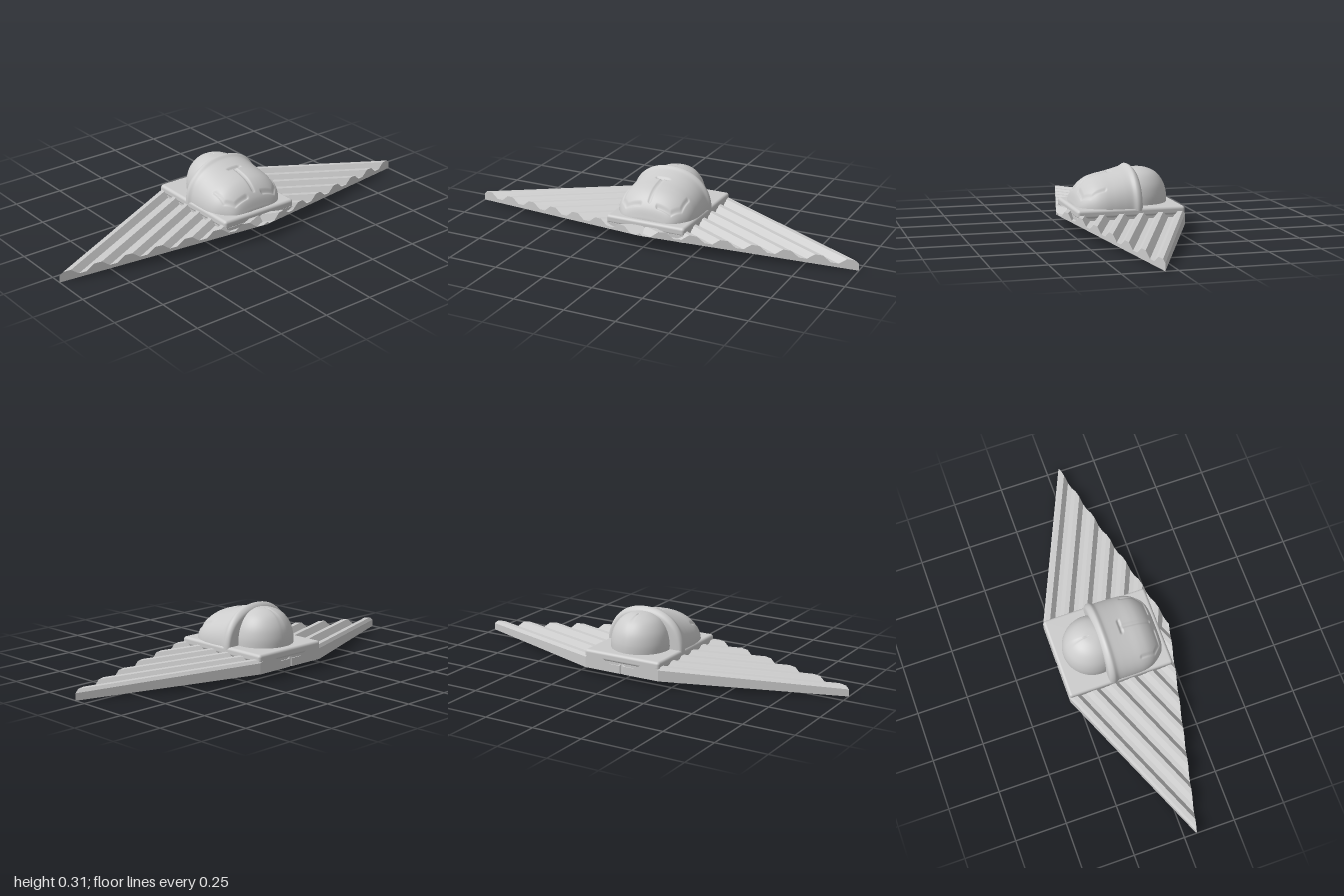
import * as THREE from 'three';
import { RoundedBoxGeometry } from 'three/addons/geometries/RoundedBoxGeometry.js';

const smooth = new THREE.MeshStandardMaterial({ color: 0xcccccc, side: THREE.DoubleSide });
const faceted = new THREE.MeshStandardMaterial({ color: 0xcccccc, side: THREE.DoubleSide, flatShading: true });

// Skins a list of equally long point rings.
function loft(rings, closed) {
  const n = rings[0].length, index = [];
  for (let i = 0; i < rings.length - 1; i++) {
    for (let j = 0; j < (closed ? n : n - 1); j++) {
      const a = i * n + j, b = i * n + (j + 1) % n;
      index.push(a, a + n, b, b, a + n, b + n);
    }
  }
  const geo = new THREE.BufferGeometry();
  geo.setAttribute('position', new THREE.Float32BufferAttribute(rings.flat(2), 3));
  geo.setIndex(index);
  geo.computeVertexNormals();
  return geo;
}

// Corrugated wing: ridges run parallel to the back edge and end on the front edge.
function wingGeometry() {
  const span = 0.6675, slope = 0.4375, teeth = 7, rows = teeth * 8;
  const rings = [];
  for (let i = 0; i <= rows; i++) {
    const w = span * i / rows;
    const wave = 0.014 * THREE.MathUtils.clamp(1.5 * Math.sin(i / 8 * Math.PI * 2), -1, 1);
    const zAt = x => -0.29 + slope * (x - 0.2) + w;
    const top = x => 0.088 - 0.052 * Math.max(0, x - 0.2) / 0.8 + wave;
    const xf = 1 - w / span;
    const xs = Math.min(xf, Math.max(0, 0.2 - w / slope));
    const xm = Math.min(xf, Math.max(xs, 0.2));
    const zf = zAt(xf), zs = zAt(xs), zm = zAt(xm);
    const ring = [
      [xf, 0.075 - 0.073 * xf, zf], [xf, top(xf), zf], [xm, top(xm), zm],
      [xs, top(xs), zs], [xs, 0.035 + 0.04 * (zs + 0.29) / 0.58, zs],
    ];
    // The first ring, collapsed onto its top edge, closes the back wall.
    if (i === 0) rings.push([ring[1], ring[1], ring[2], ring[3], ring[3]]);
    rings.push(ring);
  }
  return loft(rings, true);
}

// Grooves carved into the hood, as mirrored segments in plan (x, z).
const grooves = [
  [0, 0.04, 0, 0.18], [0, 0.035, 0.03, 0.035],
  [0.157, 0.09, 0.152, 0.155], [0.152, 0.155, 0.115, 0.19], [0.115, 0.19, 0.045, 0.19],
];
function grooveDepth(x, z) {
  let d = 1;
  for (const [ax, az, bx, bz] of grooves) {
    const dx = bx - ax, dz = bz - az;
    const t = THREE.MathUtils.clamp(((x - ax) * dx + (z - az) * dz) / (dx * dx + dz * dz), 0, 1);
    d = Math.min(d, Math.hypot(x - ax - dx * t, z - az - dz * t));
  }
  return 0.01 * (1 - THREE.MathUtils.smoothstep(d, 0.001, 0.009));
}

// Hood: arched sections along z with a raised rim at the back.
function hoodGeometry() {
  // half width, top height, z
  const profile = [
    [0.13, 0.23, -0.085], [0.185, 0.272, -0.085], [0.2, 0.289, -0.081], [0.207, 0.302, -0.07],
    [0.208, 0.308, -0.058], [0.203, 0.303, -0.047], [0.2, 0.297, -0.038], [0.2, 0.285, 0],
    [0.2, 0.272, 0.05], [0.197, 0.261, 0.1], [0.187, 0.248, 0.135], [0.165, 0.222, 0.17],
    [0.135, 0.182, 0.2], [0.1, 0.14, 0.214], [0.05, 0.118, 0.218],
  ].map(p => new THREE.Vector3(...p));
  const path = new THREE.CatmullRomCurve3(profile);
  const base = 0.112, sides = 96;
  const power = v => Math.sign(v) * Math.abs(v) ** 0.92;
  const rings = path.getSpacedPoints(110).map(p => {
    const ring = [];
    for (let j = 0; j <= sides; j++) {
      const a = Math.PI * j / sides;
      const x = p.x * power(Math.cos(a)), s = power(Math.max(0, Math.sin(a)));
      ring.push([x, base + (p.y - base) * s - grooveDepth(Math.abs(x), p.z) * s, p.z]);
    }
    return ring;
  });
  return loft(rings, false);
}

// Belly block under the plate, tapering upward toward the front.
function bellyGeometry() {
  const geo = new THREE.BoxGeometry(0.4, 0.05, 0.52);
  geo.translate(0, 0.065, -0.025);
  const pos = geo.attributes.position;
  for (let i = 0; i < pos.count; i++) {
    if (pos.getY(i) < 0.06) pos.setY(i, pos.getZ(i) > 0 ? 0.055 : 0.035);
  }
  geo.computeVertexNormals();
  return geo;
}

export function createModel() {
  const model = new THREE.Group();
  model.name = 'wingedBeetle';
  const add = (name, geo, material = smooth) => {
    const mesh = new THREE.Mesh(geo, material);
    mesh.name = name;
    model.add(mesh);
    return mesh;
  };

  // Wings
  const wing = wingGeometry();
  add('leftWing', wing, faceted);
  add('rightWing', wing, faceted).scale.x = -1;

  // Base
  add('belly', bellyGeometry(), faceted);
  add('basePlate', new RoundedBoxGeometry(0.41, 0.042, 0.525, 4, 0.014)).position.set(0, 0.104, -0.0275);

  // Body
  add('hood', hoodGeometry());
  const dome = new THREE.SplineCurve([
    [0.144, 0.115], [0.143, 0.165], [0.128, 0.218], [0.094, 0.263], [0.045, 0.287], [0, 0.291],
  ].map(p => new THREE.Vector2(...p))).getPoints(24);
  dome[24].x = 0;
  const lathe = new THREE.LatheGeometry(dome, 64);
  // Fine groove along the middle of the dome.
  const pos = lathe.attributes.position;
  for (let i = 0; i < pos.count; i++) {
    if (Math.abs(pos.getX(i)) < 0.003 && pos.getZ(i) < -0.02) pos.setY(i, pos.getY(i) - 0.004);
  }
  lathe.computeVertexNormals();
  add('rearDome', lathe).position.z = -0.108;

  return model;
}
